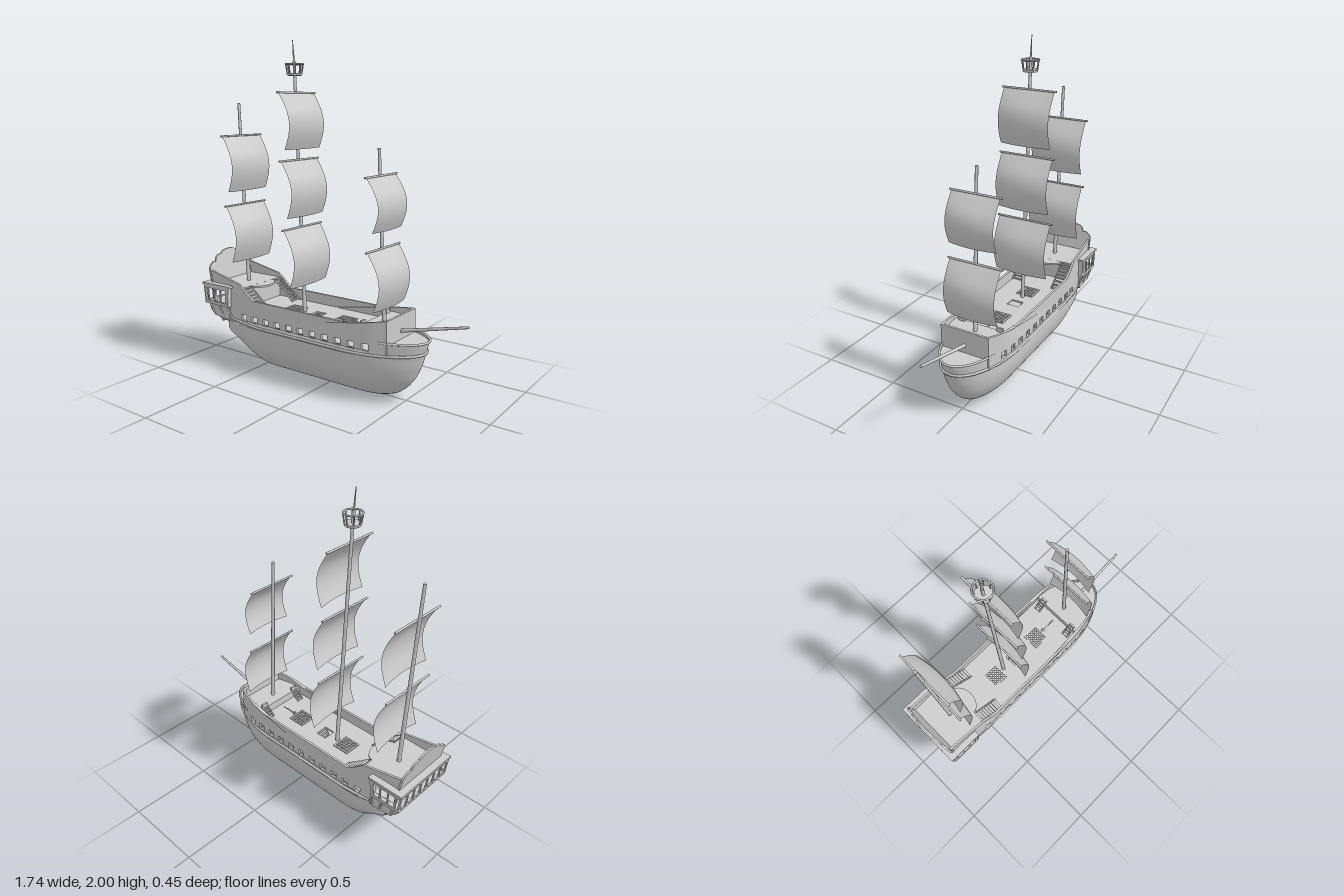
import * as THREE from 'three';

const mat = new THREE.MeshStandardMaterial({ color: 0xcccccc, side: THREE.DoubleSide });
const lerp = THREE.MathUtils.lerp;
const V = (x, y, z) => new THREE.Vector3(x, y, z);

// piecewise-linear lookup in [[key, value], ...]
function table(t, k) {
  for (let i = 1; i < t.length; i++)
    if (k <= t[i][0]) return lerp(t[i - 1][1], t[i][1], (k - t[i - 1][0]) / (t[i][0] - t[i - 1][0]));
  return t[t.length - 1][1];
}
const STEM = [[0, 0.3], [0.01, 0.38], [0.04, 0.46], [0.08, 0.51], [0.14, 0.555], [0.22, 0.59], [0.29, 0.61], [0.37, 0.632]];
const STERN = [[0, -0.42], [0.01, -0.47], [0.04, -0.55], [0.1, -0.615], [0.17, -0.68], [0.215, -0.745], [0.3, -0.75]];
const W = 0.19, BOW = 0.2;

// half width of the upper works at x
function plan(x) {
  if (x > BOW) return W * Math.sqrt(Math.max(0, 1 - ((x - BOW) / 0.42) ** 2));
  return x < -0.45 ? W - (-0.45 - x) * 0.03 : W;
}
function loft(rows, closed) {
  const n = rows[0].length, idx = [];
  for (let i = 0; i < rows.length - 1; i++)
    for (let j = 0; j < (closed ? n : n - 1); j++) {
      const a = i * n + j, b = i * n + (j + 1) % n;
      idx.push(a, a + n, b, b, a + n, b + n);
    }
  const g = new THREE.BufferGeometry().setFromPoints(rows.flat());
  g.setIndex(idx);
  g.computeVertexNormals();
  return g;
}
const polygon = (pts) => new THREE.Shape(pts.map(([x, y]) => new THREE.Vector2(x, y)));
const extrude = (shape, depth) => new THREE.ExtrudeGeometry(shape, { depth, bevelEnabled: false, curveSegments: 8 });
const rect = (x0, x1, y0, y1) => [[x0, y0], [x1, y0], [x1, y1], [x0, y1]];

export function createModel() {
  const ship = new THREE.Group();
  ship.name = 'sailingShip';
  const add = (name, geo, parent = ship) => {
    const m = new THREE.Mesh(geo, mat);
    m.name = name;
    parent.add(m);
    return m;
  };
  const box = (name, x0, x1, y0, y1, z0, z1) =>
    add(name, new THREE.BoxGeometry(x1 - x0, y1 - y0, z1 - z0).translate((x0 + x1) / 2, (y0 + y1) / 2, (z0 + z1) / 2));
  const rod = (name, a, b, r0, r1 = r0, sides = 10) => {
    const d = b.clone().sub(a);
    const m = add(name, new THREE.CylinderGeometry(r1, r0, d.length(), sides));
    m.position.copy(a).add(b).multiplyScalar(0.5);
    m.quaternion.setFromUnitVectors(V(0, 1, 0), d.normalize());
  };

  // lower hull, lofted from waterlines
  const rows = [];
  for (let i = 0; i <= 20; i++) {
    const phi = Math.min(i / 18, 1) * Math.PI / 2;
    const y = i <= 18 ? 0.25 * (1 - Math.cos(phi)) : 0.25 + (i - 18) * 0.02;
    const w = W * Math.sin(phi), xb = table(STEM, y), xs = table(STERN, y);
    const e = lerp(1, 0.4, Math.min(1, y / 0.22)), row = [];
    for (let j = 0; j < 72; j++) {
      const t = j / 72 * Math.PI * 2, c = Math.cos(t), s = Math.sin(t);
      if (c >= 0) row.push(V(BOW + (xb - BOW) * c, y, w * s));
      else row.push(V(-0.4 - (-0.4 - xs) * Math.pow(-c, e), y, w * Math.sign(s) * Math.pow(Math.abs(s), e)));
    }
    rows.push(row);
  }
  add('hull', loft(rows, true));

  // flared bow band and its rim
  const bowArc = (y, n = 30) => Array.from({ length: n + 1 }, (_, j) => {
    const t = (j / n - 0.5) * 2.1;
    return V(BOW + (table(STEM, y) - BOW) * Math.cos(t), y, W * Math.sin(t));
  });
  add('bowBand', loft([0.285, 0.31, 0.34, 0.368].map((y) => bowArc(y)), false));
  const tube = (name, pts, r) => add(name, new THREE.TubeGeometry(new THREE.CatmullRomCurve3(pts), 100, r, 6));
  tube('bowRim', bowArc(0.365), 0.007);
  const bowDeck = polygon(bowArc(0.355).map((p) => [p.x - 0.003, p.z]));
  add('bowDeck', extrude(bowDeck, 0.01).rotateX(Math.PI / 2).translate(0, 0.35, 0));

  // rubbing strake running round the hull
  const strake = [];
  for (let i = 0; i <= 8; i++) {
    const x = lerp(-0.8, 0.15, i / 8);
    strake.push(V(x, 0.285 + Math.max(0, -0.45 - x) * 0.1, plan(x) + 0.003));
  }
  const half = strake.slice();
  for (let i = 0; i <= 20; i++) {
    const t = Math.PI / 2 * (1 - i / 10);
    strake.push(V(BOW + 0.415 * Math.cos(t), 0.285 + 0.012 * Math.cos(t), (W + 0.003) * Math.sin(t)));
  }
  half.reverse().forEach((p) => strake.push(V(p.x, p.y, -p.z)));
  tube('strake', strake, 0.008);

  // bulwarks with gun ports, bent to the plan of the hull
  const corners = [[-0.79, 0.31], [-0.6, 0.275], [0.2, 0.275], [0.46, 0.285], [0.46, 0.49], [0.24, 0.45], [-0.47, 0.45], [-0.51, 0.475], [-0.58, 0.535], [-0.7, 0.56], [-0.845, 0.59]];
  const outline = corners.flatMap((p, i) => {
    const q = corners[(i + 1) % corners.length];
    return [0, 1, 2, 3, 4, 5].map((k) => [lerp(p[0], q[0], k / 6), lerp(p[1], q[1], k / 6)]);
  });
  for (const side of [1, -1]) {
    const shape = polygon(outline);
    for (let i = 0; i < 11; i++) {
      const x = -0.545 + i * 0.0885;
      shape.holes.push(polygon(rect(x - 0.021, x + 0.021, 0.311, 0.35)));
    }
    shape.holes.push(polygon(rect(-0.8, -0.665, 0.395, 0.485)));
    const g = extrude(shape, 0.014), p = g.attributes.position;
    for (let i = 0; i < p.count; i++) {
      const w = plan(p.getX(i)) + 0.005;
      p.setZ(i, side > 0 ? w - 0.014 + p.getZ(i) : -w + p.getZ(i));
    }
    g.computeVertexNormals();
    add('bulwark', g);
  }

  // decks
  const deck = (name, x0, x1, y, holes = []) => {
    const edge = Array.from({ length: 9 }, (_, i) => lerp(x0, x1, i / 8)).map((x) => [x, plan(x) - 0.004]);
    const shape = polygon([...edge, ...edge.slice().reverse().map(([x, z]) => [x, -z])]);
    holes.forEach((h) => shape.holes.push(polygon(h)));
    add(name, extrude(shape, 0.012).rotateX(Math.PI / 2).translate(0, y, 0));
  };
  const grates = [[0.035, 0.13], [-0.34, -0.245]];
  deck('gunDeck', -0.74, 0.5, 0.292);
  deck('mainDeck', -0.57, 0.29, 0.385, [...grates.map(([a, b]) => rect(a, b, -0.05, 0.05)), rect(-0.155, -0.085, -0.04, 0.04)]);
  deck('foreDeck', 0.28, 0.46, 0.435);
  deck('quarterDeck', -0.83, -0.57, 0.51);
  add('quarterDeckFront', new THREE.CylinderGeometry(0.1, 0.1, 0.012, 40).scale(0.7, 1, 1).translate(-0.57, 0.5035, 0));
  box('quarterBulkhead', -0.58, -0.57, 0.375, 0.505, -0.185, 0.185);
  box('foreBulkhead', 0.28, 0.29, 0.375, 0.43, -0.18, 0.18);
  box('forecastleFront', 0.448, 0.462, 0.29, 0.489, -0.157, 0.157);

  // gratings
  for (const [a, b] of grates) {
    const s = polygon(rect(a - 0.006, b + 0.006, -0.056, 0.056));
    for (let i = 0; i < 25; i++) {
      const x = lerp(a, b, (i % 5 + 0.5) / 5), z = (Math.floor(i / 5) - 2) * 0.02;
      s.holes.push(new THREE.Path().absarc(x, z, 0.007, 0, Math.PI * 2));
    }
    add('grating', extrude(s, 0.01).rotateX(Math.PI / 2).translate(0, 0.392, 0));
  }
  add('deckRing', new THREE.TorusGeometry(0.01, 0.003, 6, 16).rotateX(Math.PI / 2).translate(0.15, 0.39, 0));
  rod('deckBar', V(0.16, 0.39, 0), V(0.245, 0.39, 0), 0.003);

  // stairs
  const stairs = (xa, ya, xb, yb, z, w, n) => {
    for (let i = 0; i < n; i++) {
      const f = (i + 0.5) / n, x = lerp(xa, xb, f), y = lerp(ya, yb, f), h = Math.abs(xb - xa) / n * 0.4;
      box('stairTread', x - h, x + h, y - 0.004, y + 0.004, z - w, z + w);
    }
    for (const s of [-w, w]) rod('stairStringer', V(xa, ya, z + s), V(xb, yb, z + s), 0.006, 0.006, 4);
  };
  for (const s of [1, -1]) {
    stairs(-0.405, 0.385, -0.56, 0.51, s * 0.145, 0.035, 8);
    stairs(0.225, 0.385, 0.285, 0.435, s * 0.128, 0.018, 4);
    box('foreStairPost', 0.285, 0.297, 0.43, 0.46, s * 0.128 - 0.02, s * 0.128 + 0.02);
  }
  stairs(-0.085, 0.385, -0.155, 0.292, 0, 0.036, 6);

  // stern gallery: windowed sides and back, roof, floor, brackets
  const gal = (u, v) => [lerp(lerp(-0.85, -0.665, u), lerp(-0.868, -0.65, u), v), 0.385 + 0.125 * v];
  const pane = (a, b) => polygon([gal(a, 0.13), gal(b, 0.13), gal(b, 0.78), gal(a, 0.78)]);
  for (const s of [1, -1]) {
    const shape = polygon([gal(0, 0), gal(1, 0), gal(1, 1), gal(0, 1)]);
    for (const [a, b] of [[0.04, 0.12], [0.17, 0.38], [0.42, 0.64], [0.69, 0.9]]) shape.holes.push(pane(a, b));
    add('gallerySide', extrude(shape, 0.008).translate(0, 0, s * 0.216 - 0.004));
    box('galleryEnd', -0.668, -0.658, 0.386, 0.505, Math.min(s * 0.18, s * 0.218), Math.max(s * 0.18, s * 0.218));
    const bracket = polygon([[-0.845, 0.388], [-0.825, 0.34], [-0.79, 0.308], [-0.665, 0.295], [-0.665, 0.388]]);
    add('galleryUnderside', extrude(bracket, 0.02).translate(0, 0, s * 0.19 - 0.01));
    for (const x of [-0.82, -0.745, -0.672]) rod('galleryBracket', V(x + 0.03, 0.31, s * 0.196), V(x, 0.388, s * 0.216), 0.006, 0.006, 6);
  }
  box('galleryFloor', -0.855, -0.658, 0.383, 0.393, -0.22, 0.22);
  for (const s of [1, -1]) box('galleryRoof', -0.872, -0.645, 0.502, 0.516, s * 0.206 - 0.02, s * 0.206 + 0.02);
  box('sternRoof', -0.872, -0.82, 0.502, 0.516, -0.226, 0.226);
  const back = polygon(rect(-0.22, 0.22, 0.385, 0.51));
  for (let i = 0; i < 7; i++) back.holes.push(polygon(rect(-0.205 + i * 0.06, -0.155 + i * 0.06, 0.402, 0.482)));
  const lean = (g, x, y0, k) => {
    const p = g.rotateY(Math.PI / 2).attributes.position;
    for (let i = 0; i < p.count; i++) p.setX(i, p.getX(i) + x - (p.getY(i) - y0) * k);
    g.computeVertexNormals();
    return g;
  };
  add('sternWindows', lean(extrude(back, 0.008), -0.853, 0.385, 0.13));
  const counter = polygon([[-0.85, 0.388], [-0.825, 0.34], [-0.79, 0.308], [-0.74, 0.27], [-0.72, 0.388]]);
  add('sternCounter', extrude(counter, 0.36).translate(0, 0, -0.18));

  // scalloped stern board
  const board = new THREE.Shape();
  board.moveTo(-0.19, 0.505);
  board.lineTo(0.19, 0.505);
  board.lineTo(0.19, 0.6);
  board.quadraticCurveTo(0.165, 0.645, 0.13, 0.635);
  board.quadraticCurveTo(0.12, 0.68, 0.075, 0.675);
  board.quadraticCurveTo(0.05, 0.7, 0, 0.7);
  board.quadraticCurveTo(-0.05, 0.7, -0.075, 0.675);
  board.quadraticCurveTo(-0.12, 0.68, -0.13, 0.635);
  board.quadraticCurveTo(-0.165, 0.645, -0.19, 0.6);
  add('sternBoard', lean(extrude(board, 0.012), -0.828, 0.505, 0.21));

  // masts, yards and sails: sail entries are [yard height, drop, half width]
  const masts = [
    { name: 'mizzen', a: V(-0.68, 0.5, 0), b: V(-0.737, 1.64, 0), sails: [[1.44, 0.34, 0.17], [1.01, 0.35, 0.172]] },
    { name: 'main', a: V(-0.214, 0.28, 0), b: V(-0.287, 1.88, 0), sails: [[1.7, 0.325, 0.163], [1.31, 0.33, 0.17], [0.91, 0.345, 0.175]] },
    { name: 'fore', a: V(0.35, 0.43, 0), b: V(0.305, 1.4, 0), sails: [[1.25, 0.295, 0.152], [0.85, 0.325, 0.165]] },
  ];
  for (const { name, a, b, sails } of masts) {
    rod(name + 'Mast', a, b, 0.013, 0.009);
    for (const [y, h, w] of sails) {
      const x = lerp(a.x, b.x, (y - a.y) / (b.y - a.y)) + 0.008;
      rod(name + 'Yard', V(x, y, -w - 0.012), V(x, y, w + 0.012), 0.006);
      const g = new THREE.PlaneGeometry(1, 1, 12, 14), p = g.attributes.position;
      for (let i = 0; i < p.count; i++) {
        const u = p.getX(i) * 2, s = 0.5 - p.getY(i);
        const belly = 0.05 * s + 0.055 * Math.sin(Math.PI * s) + 0.02 * (1 - u * u) * Math.min(1, s * 3);
        p.setXYZ(i, x + belly - 0.008 * s, y - h * s, -u * w);
      }
      g.computeVertexNormals();
      add(name + 'Sail', g);
    }
  }
  rod('mainMastTip', V(-0.287, 1.87, 0), V(-0.297, 2, 0), 0.006, 0.002);
  rod('bowsprit', V(0.44, 0.393, 0), V(0.863, 0.495, 0), 0.011, 0.007);

  // lookout basket
  const nx = -0.284;
  add('lookoutFloor', new THREE.CylinderGeometry(0.046, 0.042, 0.014, 24).translate(nx, 1.805, 0));
  add('lookoutRail', new THREE.TorusGeometry(0.051, 0.005, 6, 28).rotateX(Math.PI / 2).translate(nx, 1.864, 0));
  for (let i = 0; i < 8; i++) {
    const c = Math.cos(i * Math.PI / 4), s = Math.sin(i * Math.PI / 4);
    rod('lookoutPost', V(nx + 0.042 * c, 1.805, 0.042 * s), V(nx + 0.051 * c, 1.864, 0.051 * s), 0.004, 0.004, 6);
  }
  return ship;
}
